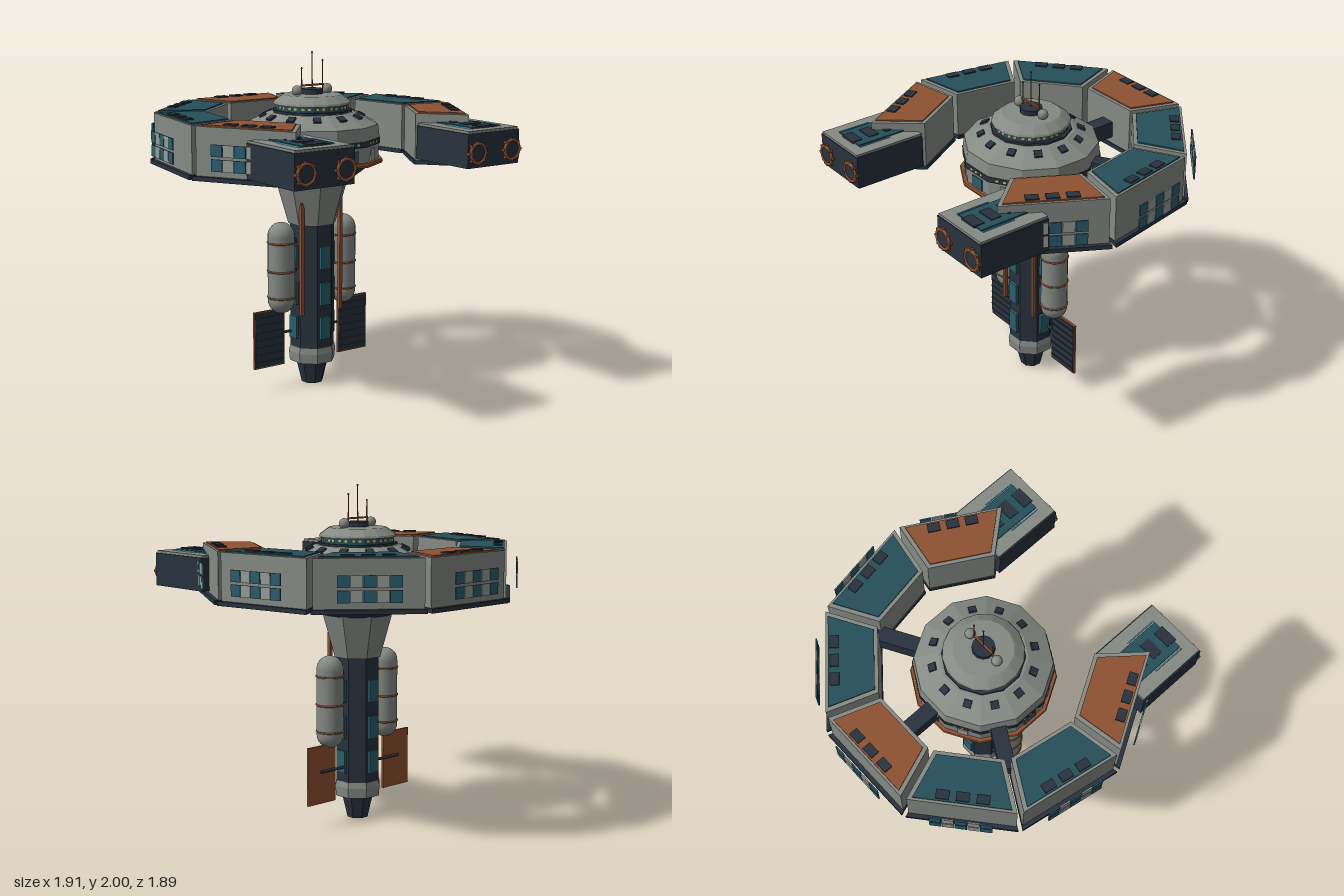
import * as THREE from 'three';

const mat = (name, color) => {
  const m = new THREE.MeshStandardMaterial({ color });
  m.name = name;
  return m;
};

export function createModel() {
  const hull = mat('hull grey', 0x858a84);
  const pale = mat('pale grey', 0x969d99);
  const navy = mat('dark navy', 0x28323e);
  const teal = mat('deep teal', 0x265059);
  const glass = mat('window teal', 0x2a5e6c);
  const copper = mat('copper', 0x8f5232);
  const cyan = mat('cyan light', 0x4fa6c0);
  const amber = mat('amber light', 0xe0c070);

  const model = new THREE.Group();
  const station = new THREE.Group();
  station.name = 'station';
  station.position.z = -0.015;
  model.add(station);

  const add = (parent, name, geo, material, x = 0, y = 0, z = 0) => {
    const m = new THREE.Mesh(geo, material);
    m.name = name;
    m.position.set(x, y, z);
    parent.add(m);
    return m;
  };
  const box = (parent, name, material, w, h, d, x, y, z) =>
    add(parent, name, new THREE.BoxGeometry(w, h, d), material, x, y, z);
  const group = (parent, name, angle = 0) => {
    const g = new THREE.Group();
    g.name = name;
    g.rotation.y = angle;
    parent.add(g);
    return g;
  };
  // Faceted turned body with one flat side facing the front; profile runs bottom to top
  const turned = (name, material, sides, profile) => {
    const pts = profile.map(([r, y]) => new THREE.Vector2(r, y));
    const geo = new THREE.LatheGeometry(pts, sides, Math.PI / sides).toNonIndexed();
    geo.computeVertexNormals();
    return add(station, name, geo, material);
  };

  // Column, from the nozzle up to the hub
  turned('nozzle', navy, 8, [[0, 0], [0.065, 0], [0.1, 0.145], [0, 0.145]]);
  turned('columnCollar', hull, 8, [[0, 0.14], [0.138, 0.14], [0.144, 0.2], [0.136, 0.235], [0, 0.235]]);
  turned('column', navy, 8, [[0.135, 0.23], [0.135, 1]]);
  turned('columnFlare', hull, 8, [[0, 0.985], [0.145, 0.985], [0.22, 1.245], [0, 1.245]]);
  turned('hubCone', navy, 12, [[0, 1.24], [0.215, 1.24], [0.385, 1.37], [0, 1.37]]);
  for (let i = 0; i < 4; i++) {
    const side = group(station, 'columnSide', i * Math.PI / 2);
    for (const y of [0.36, 0.57, 0.79]) box(side, 'columnWindow', glass, 0.07, 0.135, 0.02, 0, y, 0.132);
  }

  // Hub
  turned('hubRim', copper, 12, [[0, 1.355], [0.415, 1.355], [0.42, 1.368], [0.415, 1.38], [0, 1.38]]);
  turned('hubWall', hull, 12, [[0.395, 1.38], [0.395, 1.475]]);
  turned('hubBand', navy, 12, [[0.38, 1.47], [0.403, 1.47], [0.403, 1.505], [0.38, 1.505]]);
  turned('hubRoof', hull, 12, [[0.4, 1.505], [0.39, 1.58], [0.25, 1.65], [0, 1.65]]);
  turned('deckLip', navy, 12, [[0.235, 1.647], [0.235, 1.663], [0, 1.663]]);
  turned('deckBand', teal, 16, [[0.215, 1.66], [0.215, 1.7]]);
  turned('deckRoof', hull, 16, [[0, 1.697], [0.23, 1.697], [0.225, 1.71], [0.185, 1.74], [0.17, 1.75], [0, 1.755]]);
  turned('deckCap', navy, 12, [[0.065, 1.75], [0.065, 1.782], [0, 1.782]]);
  for (let i = 0; i < 12; i++) {
    const bay = group(station, 'hubBay', i * Math.PI / 6);
    for (const x of [-0.045, 0, 0.045]) box(bay, 'hubLight', amber, 0.018, 0.012, 0.006, x, 1.488, 0.39);
    box(bay, 'roofHatch', navy, 0.045, 0.015, 0.045, 0, 1.63, 0.29).rotation.x = 0.46;
    box(bay, 'hubDoor', i % 3 ? pale : glass, i % 3 ? 0.06 : 0.09, 0.07, 0.008, 0, 1.417, 0.384);
  }
  for (let i = 0; i < 16; i++) {
    const bay = group(station, 'deckBay', i * Math.PI / 8);
    for (const x of [-0.018, 0.018]) box(bay, 'deckLight', amber, 0.016, 0.012, 0.006, x, 1.682, 0.211);
  }

  // Sensor domes and masts
  for (const s of [-1, 1])
    add(station, 'sensorDome', new THREE.SphereGeometry(0.031, 16, 12), hull, s * 0.108, 1.775, 0);
  box(station, 'mastBar', copper, 0.16, 0.01, 0.012, 0, 1.803, 0);
  for (const [x, top] of [[-0.075, 1.91], [0, 2], [0.075, 1.95]]) {
    const base = 1.78, h = top - base;
    add(station, 'mast', new THREE.CylinderGeometry(0.003, 0.004, h, 6), copper, x, base + h / 2, 0);
    add(station, 'mastTip', new THREE.SphereGeometry(0.006, 6, 5), navy, x, top - 0.006, 0);
  }

  // Spokes joining hub and ring
  for (const a of [-60, 0, 60]) {
    const arm = group(station, 'spoke', -a * Math.PI / 180);
    box(arm, 'spokeBeam', navy, 0.09, 0.1, 0.3, 0, 1.47, -0.48);
  }

  // Ring: seven wedges of a nine-sided ring, open at the front
  const wedge = (r0, r1, gap, h) => {
    const half = r => r * Math.tan(Math.PI / 9) - gap;
    const shape = new THREE.Shape([
      new THREE.Vector2(-half(r0), r0), new THREE.Vector2(half(r0), r0),
      new THREE.Vector2(half(r1), r1), new THREE.Vector2(-half(r1), r1)]);
    return new THREE.ExtrudeGeometry(shape, { depth: h, bevelEnabled: false }).rotateX(-Math.PI / 2);
  };
  for (let i = -3; i <= 3; i++) {
    const seg = group(station, 'ringSegment', -i * Math.PI * 2 / 9);
    add(seg, 'segmentFloor', wedge(0.575, 0.895, 0.013, 0.025), navy, 0, 1.355, 0);
    add(seg, 'segmentHull', wedge(0.582, 0.872, 0.018, 0.272), hull, 0, 1.38, 0);
    add(seg, 'segmentRoof', wedge(0.603, 0.858, 0.043, 0.008), i % 3 ? teal : copper, 0, 1.652, 0);
    for (const x of [-0.11, 0, 0.11]) box(seg, 'roofVent', navy, 0.073, 0.012, 0.052, x, 1.662, -0.822);
    // Outboard rows of window plates
    for (const y of [1.455, 1.535])
      for (let k = -2; k <= 2; k++)
        box(seg, 'windowPlate', k % 2 ? pale : glass, 0.066, 0.066, 0.008, k * 0.07, y, -0.933);
  }

  // Mirrored parts
  for (const s of [-1, 1]) {
    // Docking pod
    const pod = group(model, s > 0 ? 'leftDockingPod' : 'rightDockingPod');
    pod.position.x = s * 0.587;
    box(pod, 'podBody', navy, 0.385, 0.195, 0.44, 0, 1.488, 0.692);
    box(pod, 'podDeck', hull, 0.37, 0.015, 0.435, 0, 1.592, 0.69);
    box(pod, 'podPanel', teal, 0.2, 0.009, 0.32, 0, 1.603, 0.68);
    for (const z of [0.6, 0.71, 0.82]) box(pod, 'podVent', navy, 0.11, 0.012, 0.065, 0, 1.607, z);
    for (const t of [-1, 1]) {
      box(pod, 'podLightStrip', cyan, 0.006, 0.008, 0.2, t * 0.112, 1.603, 0.74);
      add(pod, 'dockingRing', new THREE.TorusGeometry(0.055, 0.009, 8, 24), copper, t * 0.128, 1.475, 0.925);
      const port = new THREE.CylinderGeometry(0.05, 0.05, 0.02, 24).rotateX(Math.PI / 2);
      add(pod, 'dockingPort', port, navy, t * 0.128, 1.475, 0.918);
      for (let k = 0; k < 8; k++) {
        const a = k * Math.PI / 4;
        box(pod, 'dockingClamp', copper, 0.014, 0.014, 0.02,
          t * 0.128 + 0.06 * Math.cos(a), 1.475 + 0.06 * Math.sin(a), 0.922);
      }
    }

    // Fuel tank with bands
    add(station, 'tank', new THREE.CapsuleGeometry(0.08, 0.39, 8, 20), hull, s * 0.225, 0.735, 0);
    for (const y of [0.56, 0.72, 0.89]) {
      const band = new THREE.TorusGeometry(0.08, 0.006, 6, 20).rotateX(Math.PI / 2);
      add(station, 'tankBand', band, copper, s * 0.225, y, 0);
      box(station, 'tankBracket', navy, 0.05, 0.03, 0.03, s * 0.14, y, 0);
    }
    box(station, 'rail', copper, 0.02, 0.68, 0.024, s * 0.14, 0.79, 0.09);

    // Solar panel
    const panel = group(station, 'solarPanel');
    panel.position.set(s * 0.307, 0.312, -0.012);
    box(panel, 'panelFrame', copper, 0.215, 0.348, 0.014, 0, 0, 0);
    box(panel, 'panelCells', navy, 0.203, 0.33, 0.006, 0, 0, 0.008);
    for (let k = -3; k <= 3; k++) box(panel, 'panelSlat', navy, 0.2, 0.006, 0.006, 0, k * 0.045, 0.013);
    const strut = new THREE.CylinderGeometry(0.009, 0.009, 0.22, 8).rotateZ(Math.PI / 2);
    add(station, 'panelStrut', strut, navy, s * 0.21, 0.33, -0.024);
  }
  return model;
}
